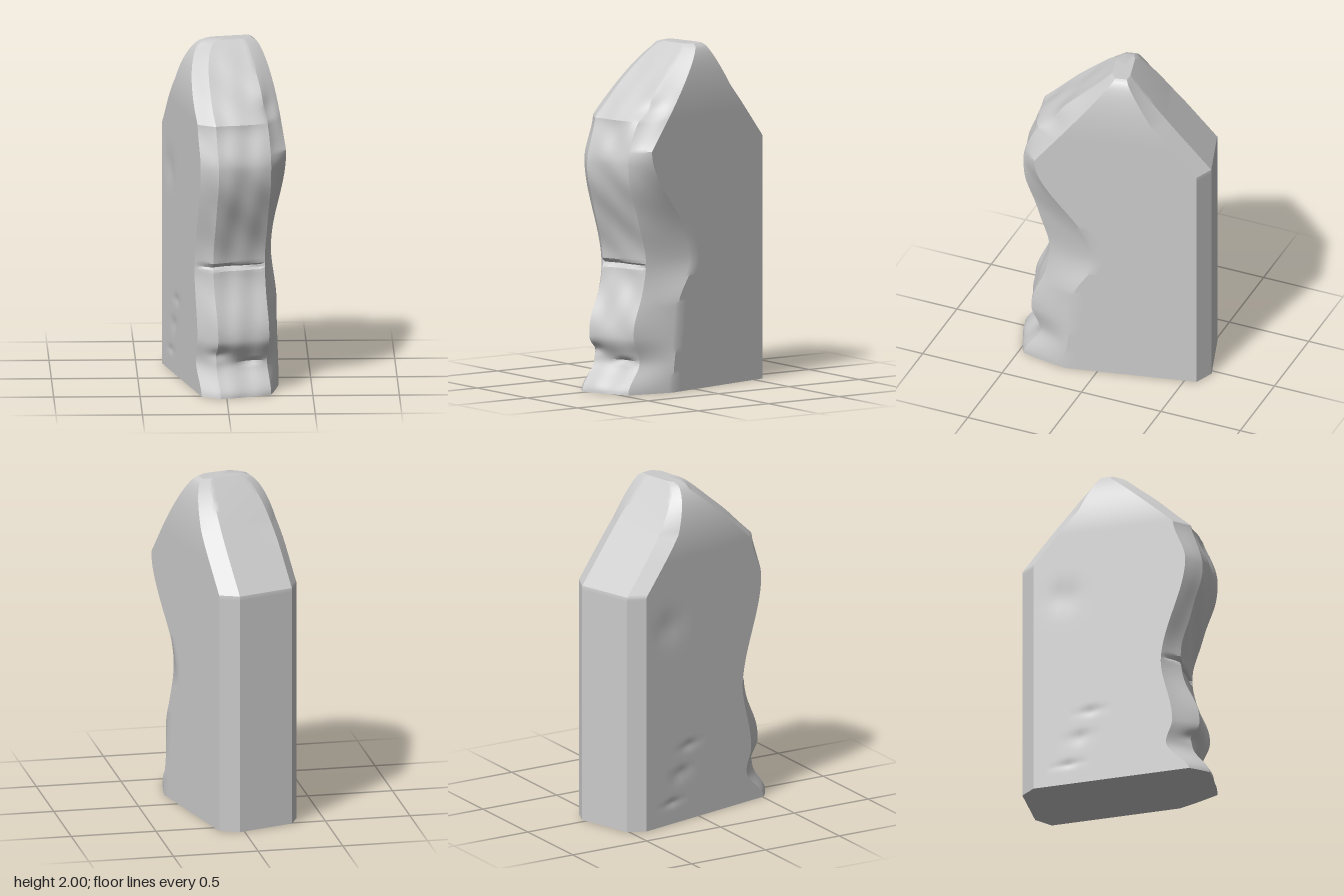
import * as THREE from 'three';
import { toCreasedNormals } from 'three/addons/utils/BufferGeometryUtils.js';

const { smoothstep } = THREE.MathUtils;
const STEPS = 12; // points per side of the outline
const ROWS = 160; // layers up the stone

// Smooth wave through a few [height, depth] points
function wave(points, y) {
  return points.slice(1).reduce((value, [h, d], i) => {
    const [h0, d0] = points[i];
    return value + (d - d0) * smoothstep(y, h0, h);
  }, points[0][1]);
}

const FRONT = [[0, 0.57], [0.18, 0.46], [0.32, 0.505], [0.73, 0.385], [1.34, 0.525], [1.6, 0.45]];
const RIGHT_EDGE = [[0, 0.25], [0.5, 0.2], [0.77, 0.07], [1.42, 0.43]];

const bump = (x, r) => Math.exp(-((x / r) ** 2));

// Eight-cornered outline [across, deep] at a height; sloping roof planes cut the top
function outline(y) {
  const drop = 2 - y;
  const front = Math.min(wave(FRONT, y), drop * 1.1);
  const frontRight = front - 0.05 * Math.max(0, 1 - y / 1.5);
  const leftEdge = front - Math.min(0.08 + 0.06 * bump(y - 0.3, 0.3), 0.04 + drop);
  const rightEdge = Math.min(wave(RIGHT_EDGE, y), drop * 0.8 - 0.03);
  const back = -Math.min(0.595, 0.11 + drop * 0.84);

  // Sides curve in towards the crown
  const t = Math.max(0, (y - 1.6) / 0.4);
  const round = 1 - Math.sqrt(Math.max(0, 1 - t * t));
  const left = -0.252 + 0.17 * round, right = 0.261 - 0.09 * round;
  const s = (right - left) / 0.513;
  const bevel = Math.min(1, (rightEdge - back) * 2);
  return [
    [left, leftEdge], [left + 0.09 * s, front], [right - 0.11 * s, frontRight], [right, rightEdge],
    [right, back + 0.07 * bevel], [right - 0.1 * s, back],
    [left + 0.07 * s, back + 0.03 * bevel], [left, back + 0.12 * bevel],
  ];
}

// Inward depth of cracks and chips on the front
function frontDamage(u, y) {
  const crack = u < 0.15 ? 0.028 * bump(y - 0.735 + 0.03 * u, 0.012) : 0;
  const chip = 0.05 * bump(u - 0.2, 0.09) * bump(y - 1.64, 0.075);
  const ledge = 0.025 * bump(u + 0.16, 0.06) * bump(y - 0.24, 0.035);
  const notch = 0.02 * bump(u - 0.05, 0.06) * bump(y - 0.185, 0.015);
  const rough = 0.006 * Math.sin(u * 31 + y * 9) * Math.sin(y * 14 - u * 8);
  return (crack + chip + ledge + notch + rough) * Math.min(1, (2.02 - y) * 4);
}

// Inward depth of the oval pit and the long scratch on the left side
function sideDamage(d, y) {
  const pit = 0.02 * bump(d + 0.29, 0.04) * bump(y - 1.2, 0.09);
  const scratch = y > 0.07 && y < 0.5 ? 0.01 * bump(d + 0.29 - (y - 0.07) * 0.42, 0.014) : 0;
  return pit + scratch;
}

function stoneGeometry() {
  const pos = [], index = [], ring = 8 * STEPS;
  for (let r = 0; r <= ROWS; r++) {
    const y = (2 * r) / ROWS;
    const corners = outline(y);
    corners.forEach(([u0, d0], e) => {
      const [u1, d1] = corners[(e + 1) % 8];
      for (let k = 0; k < STEPS; k++) {
        const t = k / STEPS;
        let u = u0 + (u1 - u0) * t, d = d0 + (d1 - d0) * t;
        // Worn front with a rounded right-hand chamfer
        if (e === 2) d += 0.1 * t * (1 - t) * (d0 - d1);
        if (e < 3) d -= frontDamage(u, y) * [t, 1, 1 - t][e];
        if (e === 7) u += sideDamage(d, y);
        pos.push(u, y, d);
      }
    });
  }
  for (let r = 0; r < ROWS; r++) {
    for (let i = 0; i < ring; i++) {
      const a = r * ring + i, b = r * ring + ((i + 1) % ring);
      index.push(a, b, b + ring, a, b + ring, a + ring);
    }
  }
  // Flat foot and crown
  const top = ROWS * ring, foot = top + ring, crown = foot + 1;
  pos.push(0, 0, 0, 0.045, 2, -0.055);
  for (let i = 0; i < ring; i++) {
    const j = (i + 1) % ring;
    index.push(foot, j, i, crown, top + i, top + j);
  }
  const geometry = new THREE.BufferGeometry();
  geometry.setAttribute('position', new THREE.Float32BufferAttribute(pos, 3));
  geometry.setIndex(index);
  return toCreasedNormals(geometry, 0.45);
}

export function createModel() {
  const model = new THREE.Group();
  model.name = 'standingStone';
  const stone = new THREE.Mesh(
    stoneGeometry(),
    new THREE.MeshStandardMaterial({ color: 0xcccccc }),
  );
  stone.name = 'weatheredStone';
  stone.rotation.y = 0.22; // the stone stands slightly turned
  model.add(stone);
  return model;
}
